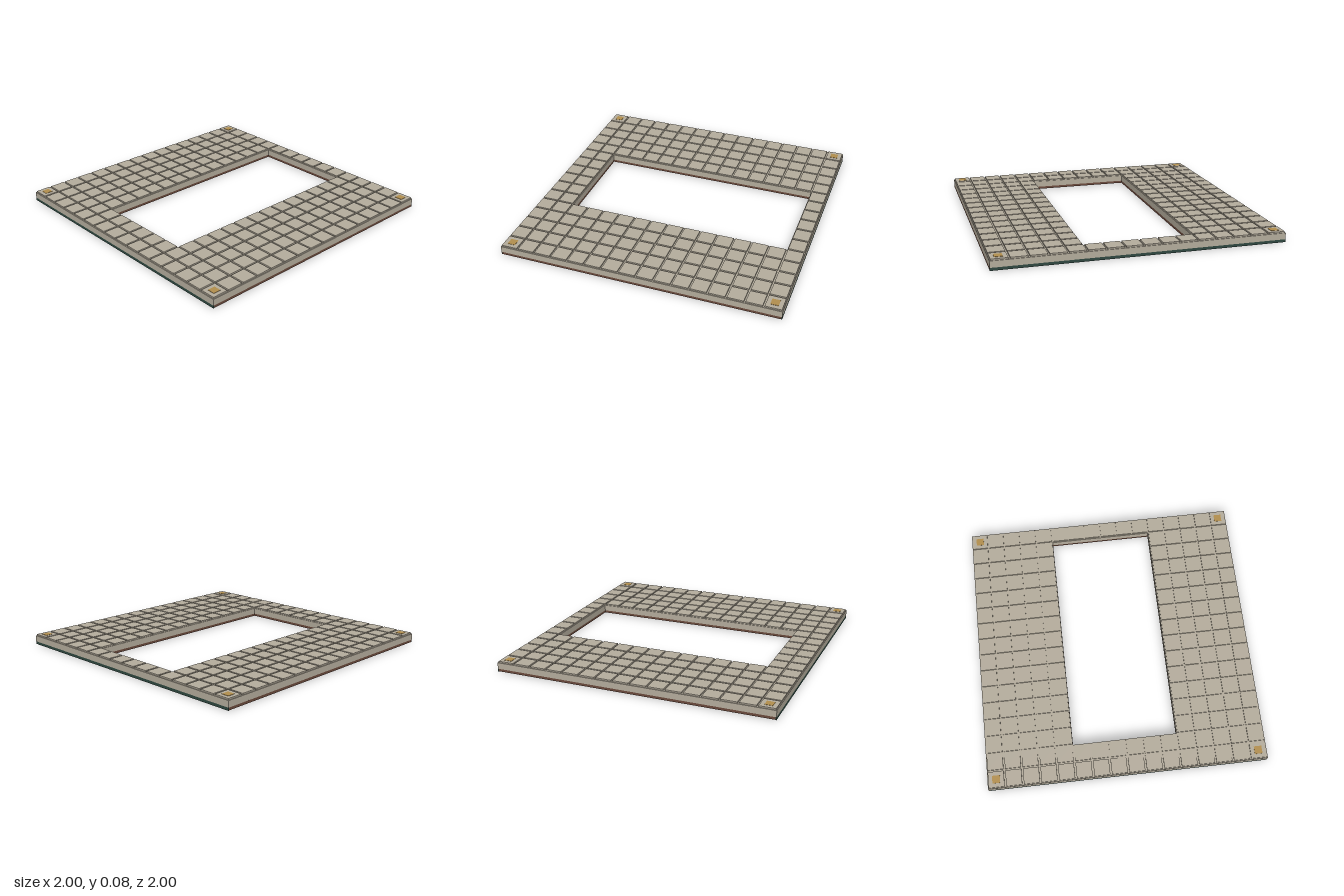
import * as THREE from 'three';

const mat = (name, color) => {
  const m = new THREE.MeshStandardMaterial({ color });
  m.name = name;
  return m;
};

export function createModel() {
  const stone = mat('stone', 0xb5ad9d);
  const wood = mat('brownWood', 0x6b4a3c);
  const green = mat('darkGreen', 0x2f4840);
  const brass = mat('brass', 0xb38f4e);

  const root = new THREE.Group();
  root.name = 'tiledFloor';
  const hole = { x0: -0.375, x1: 0.375, z0: -0.875, z1: 0.75 };

  const add = (parent, name, geo, material, x = 0, y = 0, z = 0) => {
    const m = new THREE.Mesh(geo, material);
    m.name = name;
    m.position.set(x, y, z);
    parent.add(m);
  };

  // Flat frame around the opening, from y0 to y1
  const frame = (name, material, y0, y1, halfZ) => {
    const s = new THREE.Shape([[-1, -halfZ], [1, -halfZ], [1, halfZ], [-1, halfZ]]
      .map(([x, y]) => new THREE.Vector2(x, y)));
    // Shape y becomes -z once laid flat
    s.holes.push(new THREE.Path([[hole.x0, -hole.z1], [hole.x0, -hole.z0], [hole.x1, -hole.z0], [hole.x1, -hole.z1]]
      .map(([x, y]) => new THREE.Vector2(x, y))));
    const geo = new THREE.ExtrudeGeometry(s, { depth: y1 - y0, bevelEnabled: false });
    geo.rotateX(-Math.PI / 2);
    add(root, name, geo, material, 0, y0, 0);
  };
  frame('woodenDeck', wood, 0.002, 0.02, 0.994);
  frame('stoneSlab', stone, 0.02, 0.065, 1);

  // Raised square tiles on a 16 by 16 grid, leaving the opening free
  const tiles = new THREE.Group();
  tiles.name = 'tiles';
  root.add(tiles);
  const pitch = 0.125;
  const tileGeo = new THREE.BoxGeometry(0.113, 0.01, 0.113);
  for (let i = 0; i < 16; i++) {
    for (let j = 0; j < 16; j++) {
      const x = -1 + (i + 0.5) * pitch, z = -1 + (j + 0.5) * pitch;
      if (x > hole.x0 && x < hole.x1 && z > hole.z0 && z < hole.z1) continue;
      add(tiles, 'tile', tileGeo, stone, x, 0.07, z);
    }
  }

  // Edge bands on front and back
  for (const s of [-1, 1]) {
    add(root, s > 0 ? 'frontBand' : 'backBand', new THREE.BoxGeometry(2, 0.02, 0.006), green, 0, 0.01, s * 0.997);
  }

  // Brass corner markers above, green corner pads below
  for (const x of [-1, 1]) {
    for (const z of [-1, 1]) {
      add(root, 'cornerMarker', new THREE.BoxGeometry(0.055, 0.002, 0.055), brass, x * 0.9375, 0.076, z * 0.9375);
      add(root, 'cornerPad', new THREE.BoxGeometry(0.08, 0.003, 0.08), green, x * 0.955, 0.0015, z * 0.953);
    }
  }
  return root;
}
